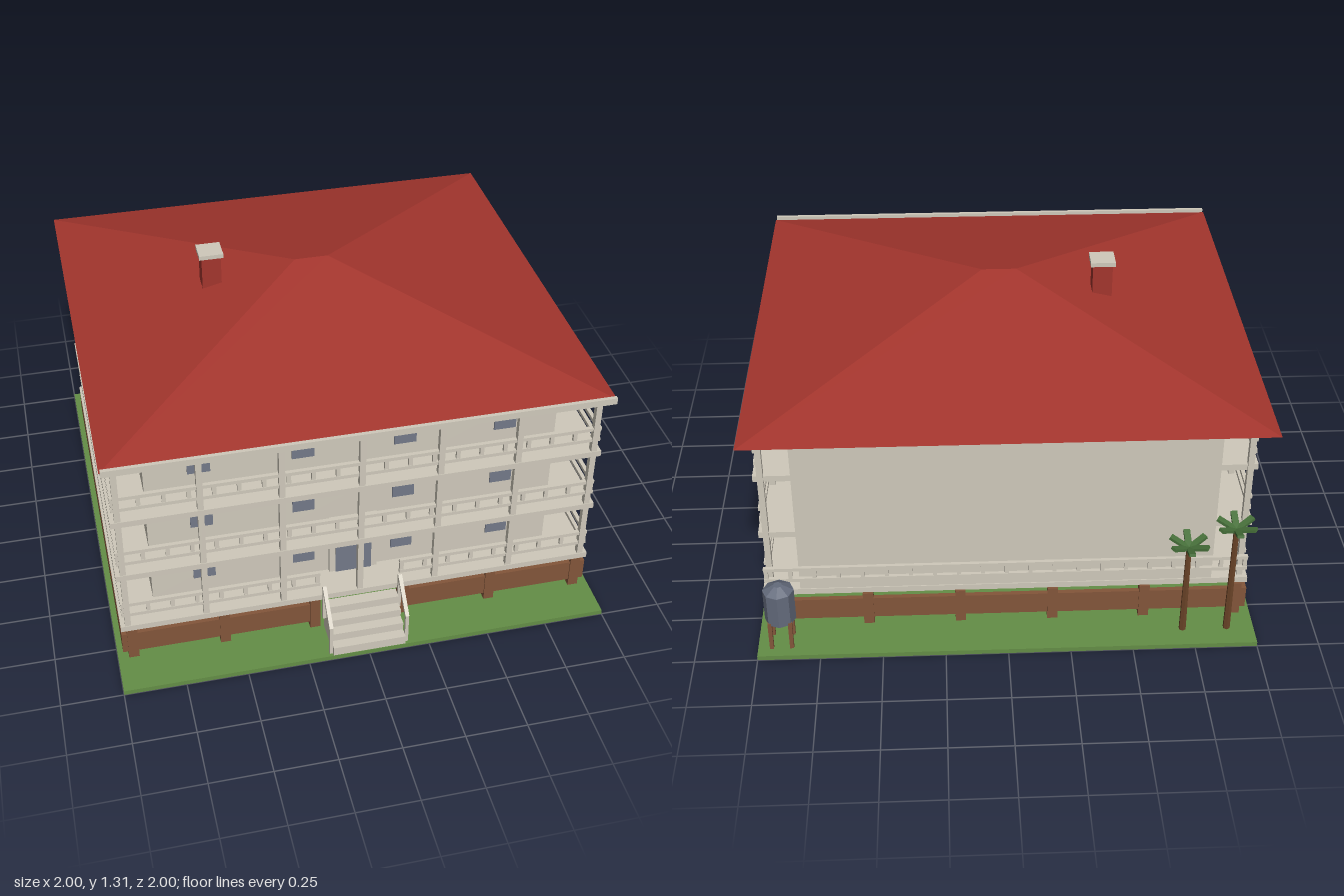
import * as THREE from 'three';

const mat = (name, color) => {
  const m = new THREE.MeshStandardMaterial({ color, flatShading: true });
  m.name = name;
  return m;
};

export function createModel() {
  const plaster = mat('plaster', 0xcfc9bb);
  const roofRed = mat('roof red', 0xa3352d);
  const wood = mat('wood', 0x83563a);
  const trunkBrown = mat('trunk brown', 0x6b4428);
  const glass = mat('glass', 0x737988);
  const tankGrey = mat('tank grey', 0x646b7c);
  const grass = mat('grass', 0x648e46);
  const leaf = mat('leaf', 0x47703a);

  const model = new THREE.Group();
  model.name = 'house';
  const group = (name) => {
    const g = new THREE.Group();
    g.name = name;
    model.add(g);
    return g;
  };
  // Box given by its two extreme corners
  const box = (parent, name, m, x0, x1, y0, y1, z0, z1) => {
    const mesh = new THREE.Mesh(new THREE.BoxGeometry(x1 - x0, y1 - y0, z1 - z0), m);
    mesh.position.set((x0 + x1) / 2, (y0 + y1) / 2, (z0 + z1) / 2);
    mesh.name = name;
    parent.add(mesh);
    return mesh;
  };
  const cylinder = (parent, name, m, r0, r1, h, sides, x, y, z) => {
    const mesh = new THREE.Mesh(new THREE.CylinderGeometry(r1, r0, h, sides), m);
    mesh.position.set(x, y + h / 2, z);
    mesh.name = name;
    parent.add(mesh);
    return mesh;
  };

  box(model, 'lawn', grass, -1, 1, 0, 0.02, -1, 1);

  // Piers and timber skirt below the house
  const base = group('foundation');
  for (const x of [-0.935, -0.56, -0.187, 0.187, 0.56, 0.935])
    for (const z of [-0.8, 0.805]) box(base, 'pier', wood, x - 0.021, x + 0.021, 0.02, 0.175, z - 0.02, z + 0.02);
  box(base, 'backSkirt', wood, -0.978, 0.978, 0.05, 0.146, -0.815, -0.795);
  for (const s of [-1, 1]) {
    const a = s * 0.168, b = s * 0.978;
    box(base, 'frontSkirt', wood, Math.min(a, b), Math.max(a, b), 0.05, 0.146, 0.8, 0.82);
    box(base, 'sideSkirt', wood, s * 0.968 - 0.01, s * 0.968 + 0.01, 0.05, 0.146, -0.815, 0.82);
  }

  // Main block
  box(model, 'walls', plaster, -0.83, 0.83, 0.2, 1.02, -0.806, 0.69);
  box(model, 'groundFloor', plaster, -0.978, 0.978, 0.174, 0.2, -0.81, 0.83);

  // Windows, doors
  const openings = group('windowsAndDoor');
  for (let f = 0; f < 3; f++) {
    const y0 = 0.274 + f * 0.273, y1 = y0 + 0.172;
    for (const x of [-0.615, -0.205, 0.205, 0.615])
      box(openings, 'frontWindow', glass, x - 0.045, x + 0.045, y0, y1, 0.688, 0.696);
    for (const z of [0.44, -0.05, -0.54])
      for (const s of [-1, 1])
        box(openings, 'sideWindow', glass, s * 0.832 - 0.004, s * 0.832 + 0.004, y0, y1, z - 0.045, z + 0.045);
  }
  box(openings, 'doorFrame', plaster, -0.1, 0.1, 0.2, 0.485, 0.685, 0.705);
  box(openings, 'door', glass, -0.075, 0.075, 0.2, 0.46, 0.704, 0.71);

  // Verandas: upper floors, rails and balusters
  const veranda = group('verandas');
  const frontRail = (x0, x1, y, z, n) => {
    for (const d of [0.047, 0.1]) box(veranda, 'rail', plaster, x0, x1, y + d, y + d + 0.015, z - 0.008, z + 0.008);
    for (let i = 0; i <= n; i++) {
      const x = x0 + 0.01 + ((x1 - x0 - 0.02) * i) / n;
      box(veranda, 'baluster', plaster, x - 0.008, x + 0.008, y + 0.05, y + 0.11, z - 0.006, z + 0.006);
    }
  };
  for (let f = 0; f < 3; f++) {
    const y = 0.2 + f * 0.273;
    if (f > 0) {
      box(veranda, 'frontFloor', plaster, -0.978, 0.978, y - 0.026, y, 0.69, 0.83);
      for (const s of [-1, 1])
        box(veranda, 'sideFloor', plaster, s * 0.904 - 0.074, s * 0.904 + 0.074, y - 0.026, y, -0.785, 0.69);
      frontRail(-0.97, 0.97, y, 0.815, 20);
    } else {
      frontRail(-0.97, -0.165, y, 0.815, 8);
      frontRail(0.165, 0.97, y, 0.815, 8);
      frontRail(-0.97, 0.97, y, -0.812, 20);
    }
    for (const s of [-1, 1])
      for (const d of [0.047, 0.1])
        box(veranda, 'sideRail', plaster, s * 0.962 - 0.008, s * 0.962 + 0.008, y + d, y + d + 0.015, -0.775, 0.815);
  }

  // Posts along the front and both sides
  const post = (x, z) => box(veranda, 'post', plaster, x - 0.012, x + 0.012, 0.2, 1.02, z - 0.012, z + 0.012);
  for (let i = -3; i <= 3; i++) post(i * 0.316, 0.815);
  for (let i = 1; i <= 5; i++) for (const s of [-1, 1]) post(s * 0.948, 0.815 - i * 0.319);

  // Eaves trim
  box(veranda, 'eaveBeam', plaster, -0.95, 0.95, 1.0, 1.02, 0.808, 0.822);
  for (let i = -13; i <= 13; i++)
    box(veranda, 'dentil', plaster, i * 0.07 - 0.013, i * 0.07 + 0.013, 0.968, 1.002, 0.81, 0.82);
  box(model, 'fascia', plaster, -0.995, 0.995, 1.008, 1.036, 0.857, 0.873);

  // Hipped roof: a box with its top drawn in to a short ridge
  const roofGeo = new THREE.BoxGeometry(2, 0.22, 1.86);
  const p = roofGeo.attributes.position;
  for (let i = 0; i < p.count; i++)
    if (p.getY(i) > 0) p.setXYZ(i, Math.sign(p.getX(i)) * 0.07, 0.11, 0);
  roofGeo.computeVertexNormals();
  const roof = new THREE.Mesh(roofGeo, roofRed);
  roof.name = 'roof';
  roof.position.set(0, 1.13, -0.07);
  model.add(roof);
  box(model, 'chimney', roofRed, -0.456, -0.376, 1.08, 1.292, -0.152, -0.076);
  box(model, 'chimneyCap', plaster, -0.466, -0.366, 1.29, 1.308, -0.164, -0.066);

  // Entrance stairs with sloping handrails
  const stairs = group('stairs');
  for (let i = 0; i < 4; i++)
    box(stairs, 'step', plaster, -0.15, 0.15, 0.02, 0.06 + i * 0.036, 0.828, 0.998 - i * 0.041);
  for (const s of [-1, 1]) {
    const x = s * 0.157;
    box(stairs, 'stairPost', plaster, x - 0.007, x + 0.007, 0.02, 0.16, 0.972, 0.986);
    box(stairs, 'stairPost', plaster, x - 0.007, x + 0.007, 0.1, 0.268, 0.85, 0.864);
    const rail = box(stairs, 'handrail', plaster, x - 0.008, x + 0.008, 0.205, 0.22, 0.833, 1.003);
    rail.rotation.x = Math.atan2(0.11, 0.122);
  }

  // Water tank on legs
  const tank = group('waterTank');
  tank.position.set(0.905, 0, -0.91);
  cylinder(tank, 'tankBody', tankGrey, 0.062, 0.062, 0.145, 8, 0, 0.14, 0);
  cylinder(tank, 'tankLid', tankGrey, 0.06, 0.018, 0.025, 8, 0, 0.285, 0);
  for (const x of [-0.04, 0.04])
    for (const z of [-0.04, 0.04]) box(tank, 'tankLeg', wood, x - 0.008, x + 0.008, 0.02, 0.15, z - 0.008, z + 0.008);

  // Palms with fronds tilted upwards
  for (const [px, h] of [[-0.89, 0.52], [-0.71, 0.435]]) {
    const palm = group('palm');
    palm.position.set(px, 0, -0.905);
    cylinder(palm, 'trunk', trunkBrown, 0.015, 0.011, h - 0.02, 6, 0, 0.02, 0);
    for (let i = 0; i < 6; i++) {
      const frond = new THREE.Mesh(new THREE.BoxGeometry(0.026, 0.012, 0.085).translate(0, 0, 0.042), leaf);
      frond.name = 'frond';
      frond.position.y = h;
      frond.rotation.set(-0.35, (i * Math.PI) / 3, 0, 'YXZ');
      palm.add(frond);
    }
  }
  return model;
}
